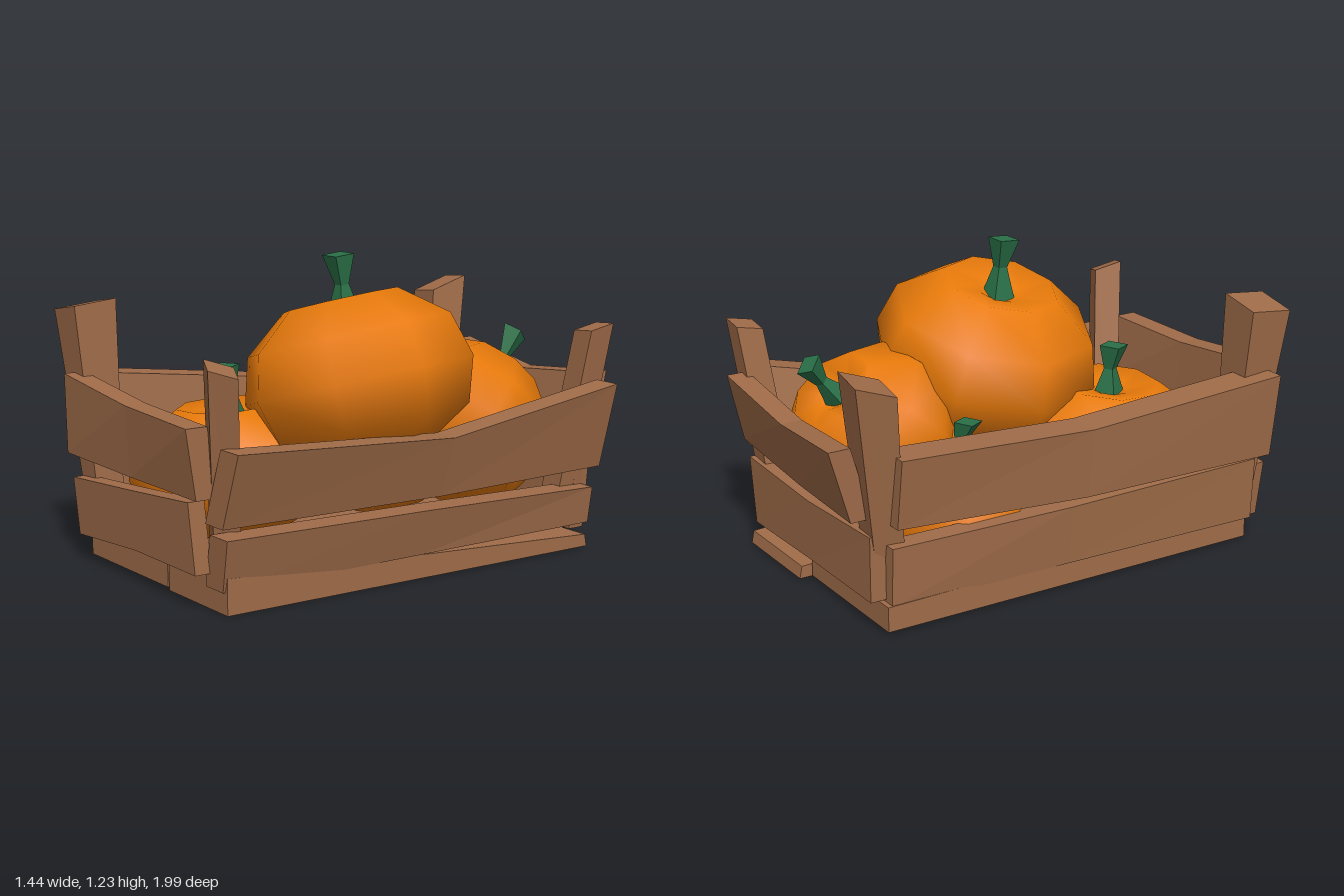
import * as THREE from 'three';

const wood = new THREE.MeshStandardMaterial({ name: 'brown wood', color: 0xa06c49 });
const orange = new THREE.MeshStandardMaterial({ name: 'pumpkin orange', color: 0xe87a0a });
const green = new THREE.MeshStandardMaterial({ name: 'stem green', color: 0x2a7048 });

// Closed, flat-faced solid through a row of four-cornered sections
function loft(rings) {
  const pos = [];
  const quad = (a, b, c, d) => [a, b, c, a, c, d].forEach((p) => pos.push(...p));
  for (let i = 0; i + 1 < rings.length; i++) {
    for (let k = 0; k < 4; k++) {
      const n = (k + 1) % 4;
      quad(rings[i][k], rings[i][n], rings[i + 1][n], rings[i + 1][k]);
    }
  }
  const first = rings[0], last = rings[rings.length - 1];
  quad(first[3], first[2], first[1], first[0]);
  quad(last[0], last[1], last[2], last[3]);

  // Turn the faces outward if the sections ran the other way
  let volume = 0;
  const v = (i) => new THREE.Vector3().fromArray(pos, i);
  for (let i = 0; i < pos.length; i += 9) volume += v(i).dot(v(i + 3).cross(v(i + 6)));
  if (volume < 0) {
    for (let i = 0; i < pos.length; i += 9) {
      const b = pos.slice(i + 3, i + 6);
      for (let k = 0; k < 3; k++) {
        pos[i + 3 + k] = pos[i + 6 + k];
        pos[i + 6 + k] = b[k];
      }
    }
  }
  const geo = new THREE.BufferGeometry();
  geo.setAttribute('position', new THREE.Float32BufferAttribute(pos, 3));
  geo.computeVertexNormals();
  return geo;
}

function addMesh(parent, name, geo, mat) {
  const mesh = new THREE.Mesh(geo, mat);
  mesh.name = name;
  parent.add(mesh);
  return mesh;
}

// Plank: each section is bottom centre xyz, then top centre xyz
function plank(parent, name, axis, thickness, sections) {
  const h = thickness / 2;
  const dx = axis === 'x' ? h : 0, dz = axis === 'z' ? h : 0;
  const rings = sections.map(([bx, by, bz, tx, ty, tz]) => [
    [bx - dx, by, bz - dz], [bx + dx, by, bz + dz],
    [tx + dx, ty, tz + dz], [tx - dx, ty, tz - dz],
  ]);
  addMesh(parent, name, loft(rings), wood);
}

// Corner post: leaning, widening upward, with a top cut at a slope along x and z
function post(parent, name, bottom, top, size0, size1, yaw, slope) {
  const ring = ([x, y, z], size, [sx, sz]) => [0, 1, 2, 3].map((k) => {
    const a = yaw + Math.PI / 4 + k * Math.PI / 2;
    const dx = Math.cos(a) * size * Math.SQRT1_2, dz = Math.sin(a) * size * Math.SQRT1_2;
    return [x + dx, y + dx * sx + dz * sz, z + dz];
  });
  addMesh(parent, name, loft([ring(bottom, size0, [0, 0]), ring(top, size1, slope)]), wood);
}

// Eight-sided pumpkin with a dimpled crown and a pinched square stem
function pumpkin(parent, name, { at, radius, half, tilt, turn, stem }) {
  const group = new THREE.Group();
  group.name = name;
  const profile = [[0, -0.8], [0.45, -1], [0.88, -0.6], [1, -0.03], [0.89, 0.55], [0.5, 1], [0.2, 0.9], [0, 0.75]]
    .map(([r, y]) => new THREE.Vector2(r * radius, y * half));
  addMesh(group, 'pumpkinBody', new THREE.LatheGeometry(profile, 8, turn), orange);

  const s = stem.width;
  const square = (r, y, x) => [[x - r, y, -r], [x + r, y, -r], [x + r, y, r], [x - r, y, r]];
  const stalk = addMesh(group, 'pumpkinStem', loft([
    square(s, 0, 0), square(s * 0.38, stem.length * 0.55, 0), square(s * 0.85, stem.length, stem.bend),
  ]), green);
  // Stems stay upright across the pumpkin's sideways lean
  stalk.position.y = half * 0.74;
  stalk.rotation.set(0, stem.yaw, -tilt[2], 'ZXY');
  group.position.set(...at);
  group.rotation.set(...tilt);
  parent.add(group);
}

export function createModel() {
  const model = new THREE.Group();
  model.name = 'pumpkinCrate';
  const crate = new THREE.Group();
  crate.name = 'crate';
  model.add(crate);

  // Floor
  plank(crate, 'floorPlankRight', 'x', 0.6, [
    [-0.25, 0.01, 0.87, -0.25, 0.13, 0.87], [-0.25, 0.01, -0.8, -0.25, 0.11, -0.8]]);
  plank(crate, 'floorPlankLeft', 'x', 0.42, [
    [0.27, 0, 0.87, 0.27, 0.14, 0.87], [0.27, 0.005, -0.85, 0.27, 0.055, -0.84]]);

  // Long sides
  plank(crate, 'leftUpperPlank', 'x', 0.12, [
    [0.44, 0.33, 0.9, 0.535, 0.62, 0.89], [0.47, 0.33, -0.06, 0.545, 0.57, -0.07], [0.565, 0.375, -0.78, 0.66, 0.72, -0.78]]);
  plank(crate, 'leftLowerPlank', 'x', 0.12, [
    [0.405, 0.085, 0.88, 0.455, 0.29, 0.89], [0.43, 0.1, 0, 0.48, 0.285, 0], [0.48, 0.125, -0.8, 0.505, 0.275, -0.8]]);
  plank(crate, 'rightUpperPlank', 'x', 0.15, [
    [-0.61, 0.41, 0.87, -0.645, 0.75, 0.88], [-0.53, 0.38, 0.05, -0.555, 0.66, 0.06], [-0.5, 0.42, -0.77, -0.54, 0.7, -0.77]]);
  plank(crate, 'rightLowerPlank', 'x', 0.09, [
    [-0.55, 0.11, 0.86, -0.565, 0.37, 0.86], [-0.51, 0.1, 0, -0.53, 0.34, 0], [-0.5, 0.1, -0.78, -0.51, 0.34, -0.78]]);

  // Short ends
  plank(crate, 'frontUpperPlank', 'z', 0.09, [
    [-0.56, 0.435, 0.92, -0.555, 0.755, 0.93], [-0.07, 0.425, 0.91, -0.06, 0.705, 0.935], [0.41, 0.425, 0.91, 0.41, 0.695, 0.95]]);
  plank(crate, 'frontLowerPlank', 'z', 0.07, [
    [-0.55, 0.1, 0.89, -0.575, 0.33, 0.9], [-0.08, 0.135, 0.9, -0.09, 0.37, 0.91], [0.38, 0.14, 0.91, 0.35, 0.41, 0.92]]);
  plank(crate, 'backUpperPlank', 'z', 0.09, [
    [-0.47, 0.44, -0.86, -0.48, 0.735, -0.95], [0.01, 0.42, -0.82, 0.01, 0.68, -0.89], [0.5, 0.45, -0.81, 0.5, 0.73, -0.875]]);
  plank(crate, 'backLowerPlank', 'z', 0.07, [
    [-0.5, 0.12, -0.81, -0.5, 0.38, -0.81], [0, 0.1, -0.79, 0, 0.35, -0.8], [0.48, 0.09, -0.79, 0.5, 0.37, -0.8]]);

  // Corner posts
  post(crate, 'frontRightPost', [-0.505, 0.1, 0.82], [-0.585, 1.02, 0.86], 0.1, 0.18, 0.03, [0.18, -0.1]);
  post(crate, 'frontLeftPost', [0.31, 0.1, 0.77], [0.475, 0.91, 0.885], 0.1, 0.11, 0.4, [-0.33, 0.2]);
  post(crate, 'backRightPost', [-0.42, 0.1, -0.73], [-0.525, 0.98, -0.855], 0.11, 0.16, 0.1, [0.15, -0.33]);
  post(crate, 'backLeftPost', [0.41, 0.1, -0.73], [0.53, 0.92, -0.82], 0.11, 0.11, 0.05, [0.1, -0.2]);

  // Pumpkins
  const half = Math.PI / 8;
  pumpkin(model, 'largePumpkin', { at: [0.16, 0.75, 0.07], radius: 0.465, half: 0.31, tilt: [0.09, 0, 0.26], turn: 0,
    stem: { width: 0.052, length: 0.26, yaw: 0.05, bend: -0.01 } });
  pumpkin(model, 'frontPumpkin', { at: [-0.145, 0.39, 0.45], radius: 0.418, half: 0.25, tilt: [0.05, 0, 0.06], turn: half,
    stem: { width: 0.05, length: 0.22, yaw: 0.5, bend: -0.01 } });
  pumpkin(model, 'backPumpkin', { at: [0.145, 0.51, -0.46], radius: 0.368, half: 0.29, tilt: [-0.73, 0, 0.05], turn: half,
    stem: { width: 0.047, length: 0.24, yaw: 0.5, bend: -0.02 } });
  pumpkin(model, 'sidePumpkin', { at: [-0.21, 0.32, -0.31], radius: 0.33, half: 0.21, tilt: [0.04, 0, 0.25], turn: half,
    stem: { width: 0.047, length: 0.18, yaw: 0.5, bend: -0.03 } });

  return model;
}
